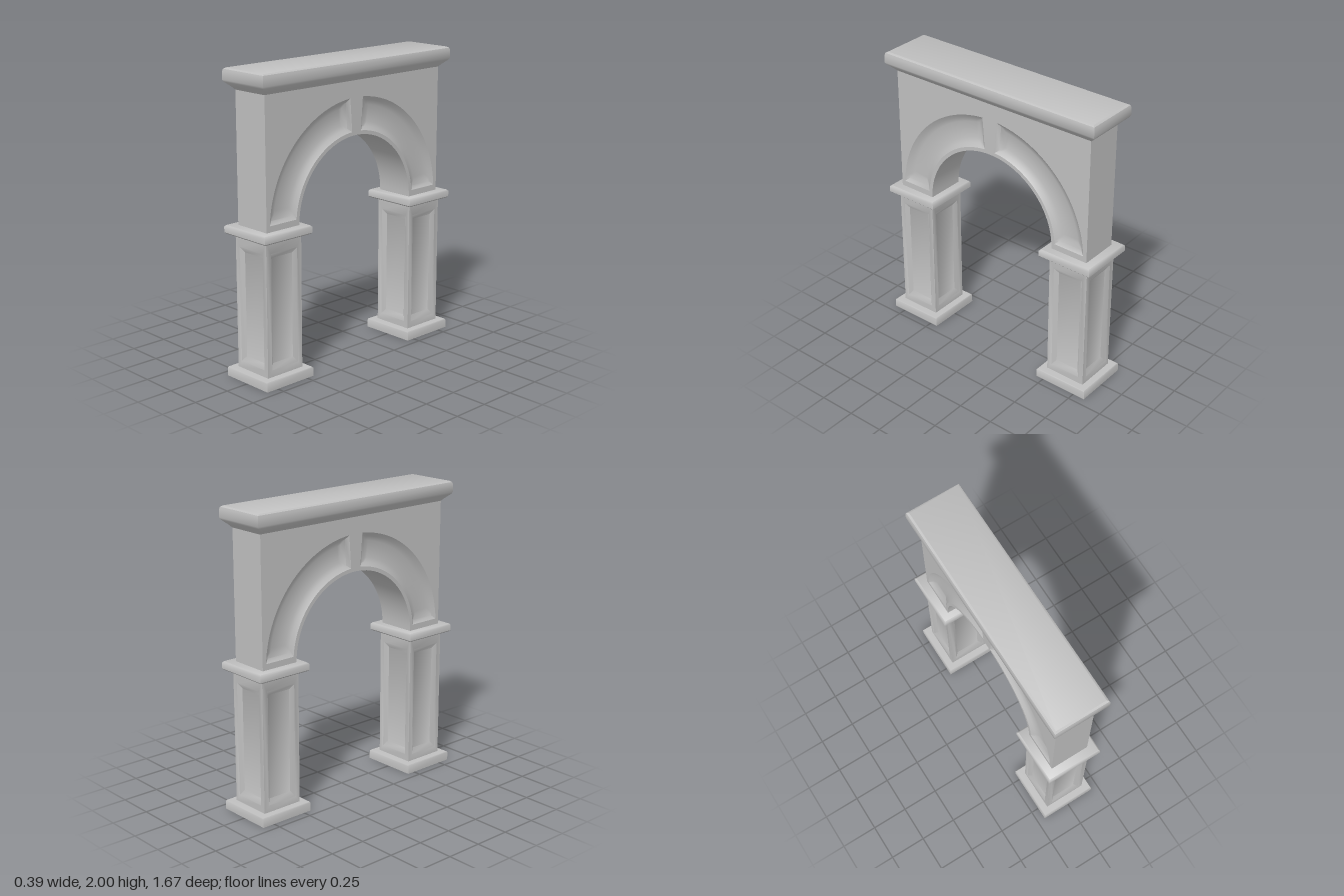
import * as THREE from 'three';
import { toCreasedNormals } from 'three/addons/utils/BufferGeometryUtils.js';

// Skin a stack of closed rings (equal point counts); optionally cap the last one.
function loft(rings, cap = false, crease = 0.8) {
  const pos = [];
  const quad = (a, b, c, d) => [a, b, c, a, c, d].forEach((p) => pos.push(...p));
  for (let i = 0; i < rings.length - 1; i++) {
    const r = rings[i], s = rings[i + 1], n = r.length;
    for (let j = 0; j < n; j++) quad(r[j], r[(j + 1) % n], s[(j + 1) % n], s[j]);
  }
  if (cap) {
    const r = rings[rings.length - 1], n = r.length;
    for (let k = 0; k < n / 2 - 1; k++) quad(r[k], r[k + 1], r[n - 2 - k], r[n - 1 - k]);
  }
  const g = new THREE.BufferGeometry();
  g.setAttribute('position', new THREE.Float32BufferAttribute(pos, 3));
  return toCreasedNormals(g, crease);
}

// Horizontal rectangle ring, and upright rectangle ring facing +z
const plan = (x, z, y) => [[-x, y, z], [x, y, z], [x, y, -z], [-x, y, -z]];
const upright = (w, y0, y1, z) => [[-w, y0, z], [w, y0, z], [w, y1, z], [-w, y1, z]];

const SPRING = 1.01, WALL = 0.135, SEG = 32;
const polar = (r, a) => [r * Math.cos(a), SPRING + r * Math.sin(a)];

// Outline of one sunken arch panel, shrunk by inset; side -1 mirrors it
function archPanel(inset, side) {
  const rOut = 0.745 - inset, rIn = 0.525 + inset;
  const arc = (r) => {
    const a0 = Math.asin((0.04 + inset) / r);
    const a1 = Math.PI / 2 - (0.075 * r + inset) / r;
    return Array.from({ length: SEG + 1 }, (_, i) => polar(r, a0 + (a1 - a0) * i / SEG));
  };
  const pts = [...arc(rOut), ...arc(rIn).reverse()];
  return side > 0 ? pts : pts.map(([u, v]) => [-u, v]).reverse();
}

export function createModel() {
  const model = new THREE.Group();
  const stone = new THREE.MeshStandardMaterial({ color: 0xbfbfbf, side: THREE.DoubleSide });
  stone.name = 'grey stone';
  const add = (parent, name, geometry) => {
    const m = new THREE.Mesh(geometry, stone);
    m.name = name;
    parent.add(m);
    return m;
  };

  // Pillars: hollow base, four panelled faces, capital
  const baseGeo = loft([plan(0.195, 0.195, 0), plan(0.195, 0.195, 0.055),
    plan(0.19, 0.19, 0.062), plan(0.14, 0.14, 0.064)]);
  const faceGeo = loft([
    upright(0.145, 0.06, 0.96, 0.145),
    upright(0.11, 0.11, 0.875, 0.145),
    upright(0.085, 0.145, 0.84, 0.122),
  ], true);
  const capitalGeo = loft([plan(0.1, 0.1, 0.953), plan(0.185, 0.185, 0.953), plan(0.195, 0.195, 0.962),
    plan(0.195, 0.195, 1.0), plan(0.185, 0.185, 1.01)], true);
  for (const side of [1, -1]) {
    const pillar = new THREE.Group();
    pillar.name = side > 0 ? 'frontPillar' : 'backPillar';
    pillar.position.z = side * 0.64;
    add(pillar, 'base', baseGeo);
    for (let i = 0; i < 4; i++) add(pillar, 'panelledFace', faceGeo).rotation.y = i * Math.PI / 2;
    add(pillar, 'capital', capitalGeo);
    model.add(pillar);
  }

  // Arched wall, drawn facing +z and then turned to run along z
  const outline = [[0.77, SPRING], [0.77, 1.9], [-0.77, 1.9], [-0.77, SPRING]];
  for (let i = 0; i <= 48; i++) outline.push(polar(0.5, Math.PI * (1 - i / 48)));
  const wall = new THREE.Group();
  wall.name = 'archWall';
  wall.rotation.y = Math.PI / 2;
  model.add(wall);
  add(wall, 'soffitAndEnds', loft([-WALL, WALL].map((z) => outline.map(([u, v]) => [u, v, z]))));

  // Wall faces, with a sunken panel on each side of the keystone
  const toVec = (pts) => pts.map(([u, v]) => new THREE.Vector2(u, v));
  const shape = new THREE.Shape(toVec(outline));
  for (const side of [1, -1]) shape.holes.push(new THREE.Path(toVec(archPanel(0, side))));
  const wallFaceGeo = new THREE.ShapeGeometry(shape);
  wallFaceGeo.translate(0, 0, WALL);
  const steps = [[0, 0], [0.025, 0.018], [0.055, 0.03]]; // inset, depth
  const panelGeos = [1, -1].map((side) => loft(steps.map(([inset, depth]) =>
    archPanel(inset, side).map(([u, v]) => [u, v, WALL - depth])), true));
  for (const turn of [0, Math.PI]) {
    const face = new THREE.Group();
    face.name = turn ? 'rightFace' : 'leftFace';
    face.rotation.y = turn;
    add(face, 'spandrelAndKeystone', wallFaceGeo);
    panelGeos.forEach((g) => add(face, 'sunkenArchPanel', g));
    wall.add(face);
  }

  // Cornice flaring out from the wall top
  const cornice = [[0.135, 1.865], [0.15, 1.882], [0.183, 1.912], [0.19, 1.925],
    [0.19, 1.975], [0.185, 1.992], [0.172, 2.0]];
  add(model, 'cornice', loft(cornice.map(([x, y]) => plan(x, x + 0.637, y)), true, 0.7));

  return model;
}
